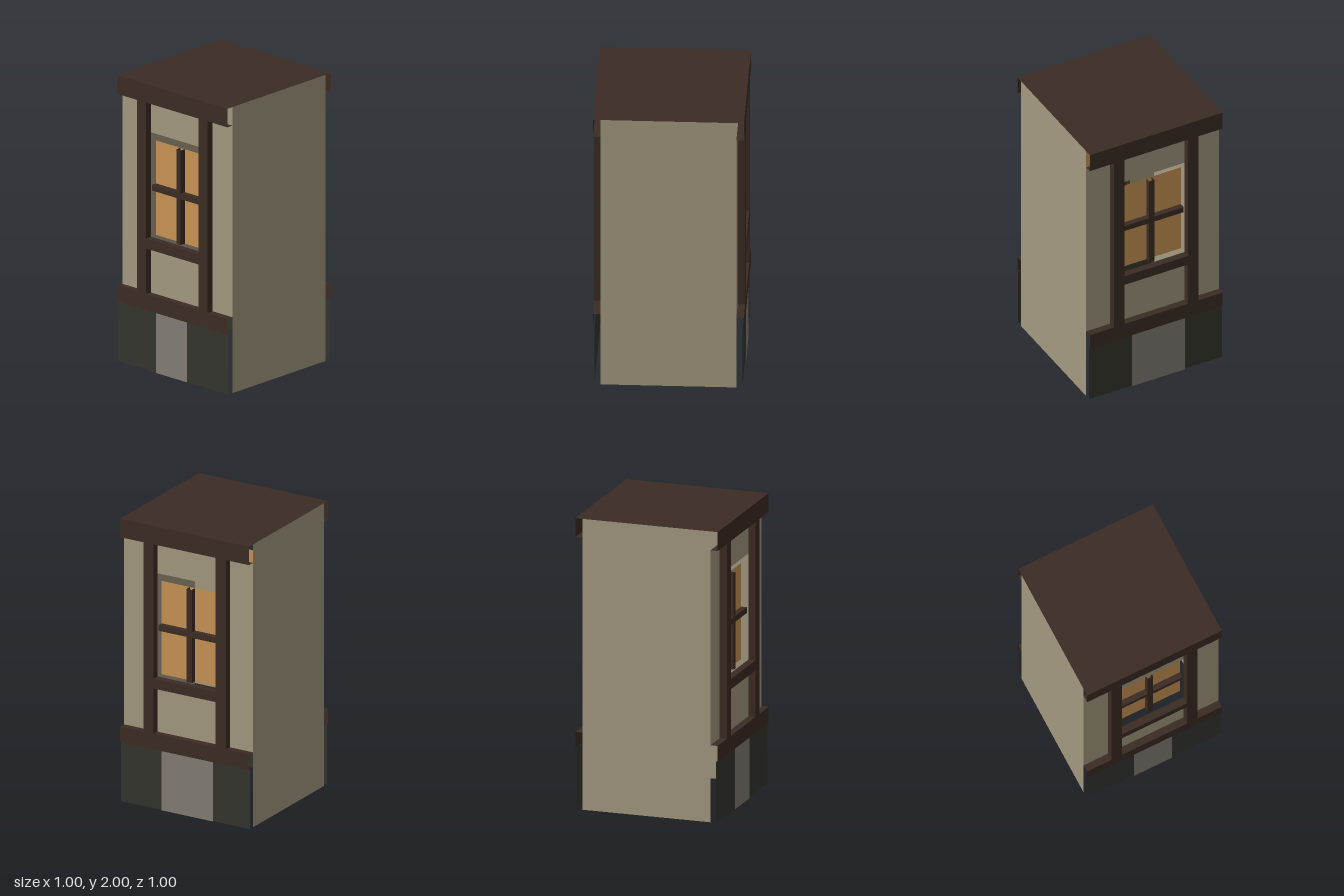
import * as THREE from 'three';

const mat = (name, color) => new THREE.MeshStandardMaterial({ name, color, side: THREE.DoubleSide });

// Box faces in BoxGeometry order
const FACES = ['+x', '-x', '+y', '-y', '+z', '-z'];

// Shell box spanning min..max that keeps only the listed faces
function shell(name, material, [x0, x1], [y0, y1], [z0, z1], keep) {
  const geo = new THREE.BoxGeometry(x1 - x0, y1 - y0, z1 - z0);
  const all = Array.from(geo.index.array);
  geo.setIndex(keep.flatMap((f) => all.slice(FACES.indexOf(f) * 6, FACES.indexOf(f) * 6 + 6)));
  geo.clearGroups();
  geo.translate((x0 + x1) / 2, (y0 + y1) / 2, (z0 + z1) / 2);
  const mesh = new THREE.Mesh(geo, material);
  mesh.name = name;
  return mesh;
}

// Flat panel facing +z
function panel(name, material, [x0, x1], [y0, y1], z) {
  const mesh = new THREE.Mesh(new THREE.PlaneGeometry(x1 - x0, y1 - y0), material);
  mesh.position.set((x0 + x1) / 2, (y0 + y1) / 2, z);
  mesh.name = name;
  return mesh;
}

export function createModel() {
  const timber = mat('dark timber', 0x3b2c23);
  const plaster = mat('plaster', 0xa39980);
  const glass = mat('lit glass', 0xc99455);
  const stone = mat('dark stone', 0x35352d);
  const paleStone = mat('pale stone', 0x827c75);

  const model = new THREE.Group();
  model.name = 'houseSection';

  // One timbered face; stoneX is the span of the pale stone in the plinth
  function facade(name, stoneX) {
    const g = new THREE.Group();
    g.name = name;
    const wallZ = 0.45, depth = [0.45, 0.5], inner = [-0.24, 0.24];
    const across = ['+y', '-y', '+z'], upright = ['+x', '-x', '+z'];

    // Plinth
    g.add(panel('plinth', stone, [-0.5, 0.5], [0, 0.42], 0.49));
    g.add(panel('plinthStone', paleStone, stoneX, [0, 0.42], 0.497));

    // Plaster infill
    g.add(panel('infillLeft', plaster, [0.32, 0.5], [0.53, 1.87], wallZ));
    g.add(panel('infillRight', plaster, [-0.5, -0.32], [0.53, 1.87], wallZ));
    g.add(panel('infillLower', plaster, inner, [0.53, 0.85], wallZ));
    g.add(panel('infillUpper', plaster, inner, [1.65, 1.87], wallZ));

    // Timber frame
    g.add(shell('topBeam', timber, [-0.5, 0.5], [1.87, 2], depth, ['-y', '+z']));
    g.add(shell('lowerBeam', timber, [-0.5, 0.5], [0.42, 0.53], depth, ['+y', '+z']));
    g.add(shell('postLeft', timber, [0.24, 0.32], [0.53, 1.87], depth, upright));
    g.add(shell('postRight', timber, [-0.32, -0.24], [0.53, 1.87], depth, upright));
    g.add(shell('sill', timber, inner, [0.85, 0.92], depth, across));

    // Recessed window with glazing bars
    g.add(panel('windowPane', glass, inner, [0.92, 1.58], 0.4));
    g.add(shell('barUpright', timber, [-0.02, 0.02], [0.92, 1.58], [0.4, 0.44], upright));
    g.add(shell('barAcross', timber, inner, [1.24, 1.28], [0.4, 0.44], across));
    return g;
  }

  model.add(facade('frontFacade', [-0.15, 0.13]));
  const back = facade('backFacade', [-0.18, 0.22]);
  back.rotation.y = Math.PI;
  model.add(back);

  // Plain side walls and flat roof
  model.add(shell('sideWalls', plaster, [-0.5, 0.5], [0, 2], [-0.45, 0.45], ['+x', '-x']));
  model.add(shell('roof', timber, [-0.5, 0.5], [1.9, 2], [-0.5, 0.5], ['+y']));

  return model;
}
